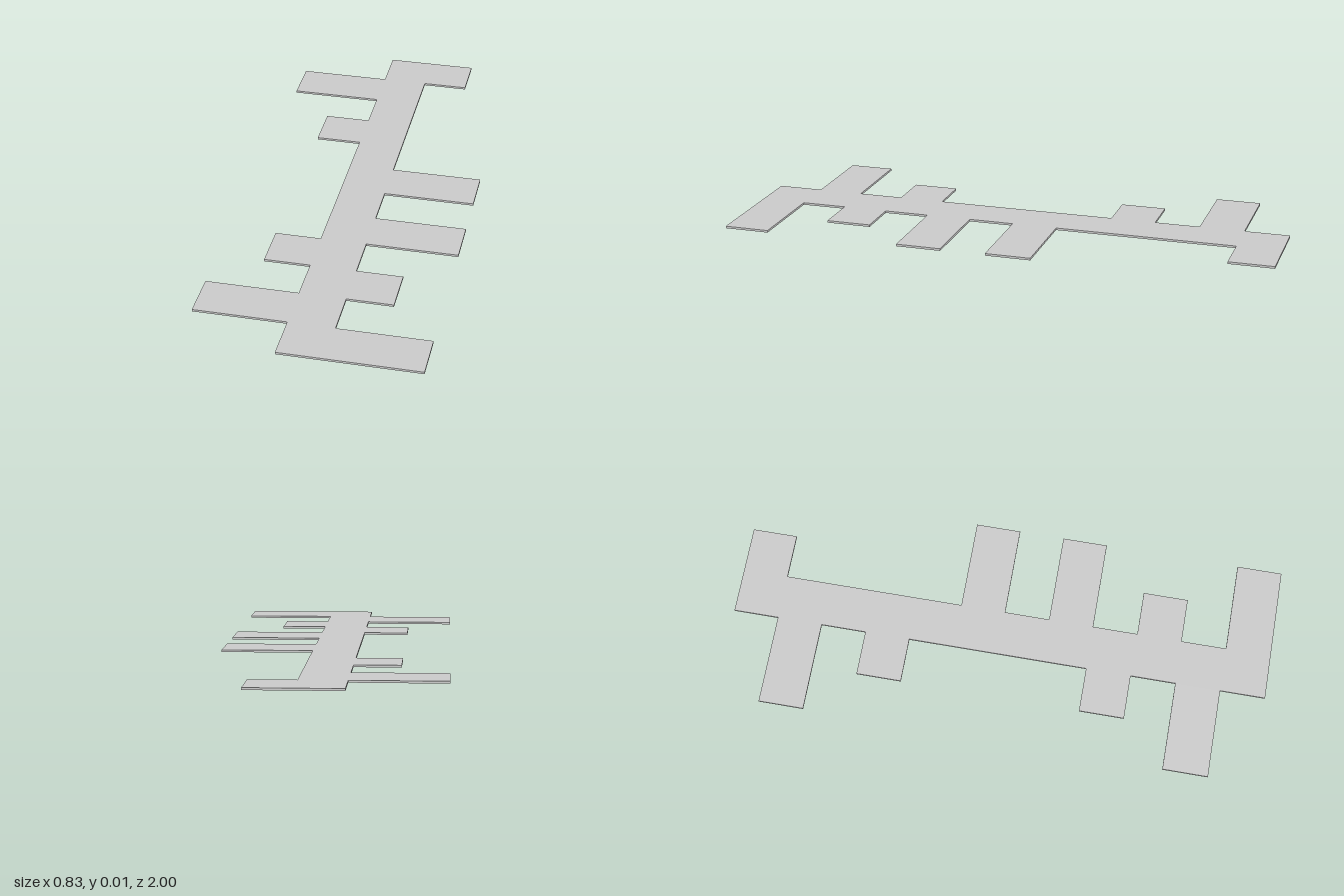
import * as THREE from 'three';

const CELL = 1 / 6;       // the outline sits on a square grid, 12 rows long
const THICKNESS = 0.008;

// Tab length in cells on each side of the spine, from back (-z) to front (+z)
const LEFT_TABS = [1, 0, 0, 0, 0, 2, 0, 2, 0, 1, 0, 2];   // +x side
const RIGHT_TABS = [0, 2, 0, 1, 0, 0, 0, 0, 1, 0, 2, 0];  // -x side

// Stepped edge running back to front along one side of the spine
function steppedEdge(tabs, side) {
  const points = [];
  tabs.forEach((tab, row) => {
    if (row > 0 && tab === tabs[row - 1]) points.pop();
    const x = side * (0.5 + tab) * CELL;
    const y = 1 - row * CELL;
    if (row === 0 || tab !== tabs[row - 1]) points.push(new THREE.Vector2(x, y));
    points.push(new THREE.Vector2(x, y - CELL));
  });
  return points;
}

export function createModel() {
  const group = new THREE.Group();
  group.name = 'toothedPlate';

  // One flat plate: a straight spine with tabs on both sides
  const outline = new THREE.Shape([
    ...steppedEdge(RIGHT_TABS, -1),
    ...steppedEdge(LEFT_TABS, 1).reverse(),
  ]);
  const geometry = new THREE.ExtrudeGeometry(outline, { depth: THICKNESS, bevelEnabled: false });
  geometry.rotateX(-Math.PI / 2);

  const plate = new THREE.Mesh(
    geometry,
    new THREE.MeshStandardMaterial({ color: 0xcccccc, flatShading: true })
  );
  plate.name = 'spineWithTabs';
  group.add(plate);
  return group;
}
